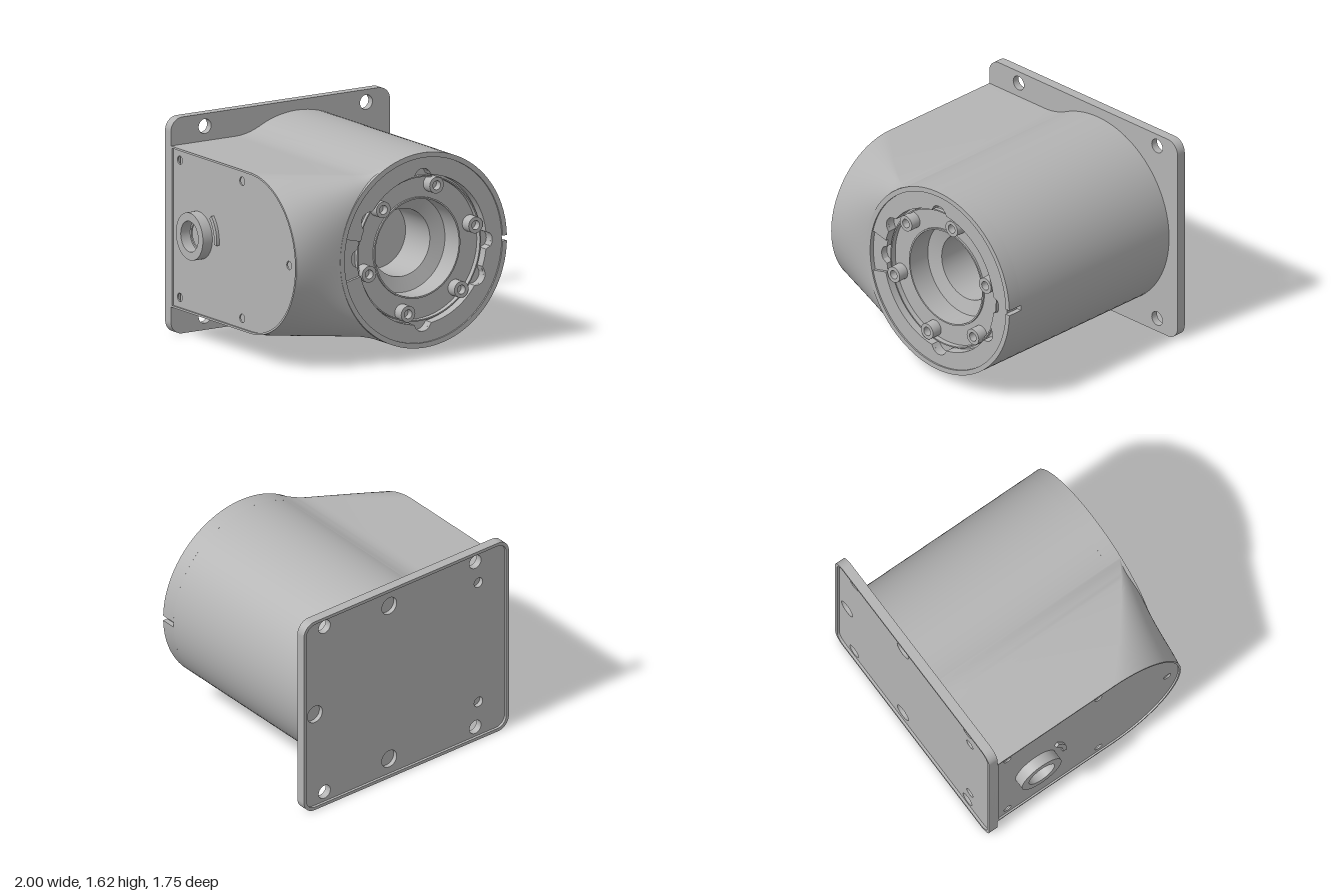
import * as THREE from 'three';
import { toCreasedNormals } from 'three/addons/utils/BufferGeometryUtils.js';

const CX = 0.18, CY = 0.815, R = 0.733;      // main barrel axis and radius
const FRONT = 0.87, BACK = -0.8, LEFT = -0.93;

export function createModel() {
  const model = new THREE.Group();
  const grey = new THREE.MeshStandardMaterial({ color: 0xb4b4b4, side: THREE.DoubleSide });
  grey.name = 'housing grey';

  const add = (name, geo, crease = 0.5) => {
    const mesh = new THREE.Mesh(toCreasedNormals(geo, crease), grey);
    mesh.name = name;
    model.add(mesh);
  };
  // Extrude a shape drawn in x/y between two z positions
  const slab = (name, shape, z0, z1) => add(name, new THREE.ExtrudeGeometry(shape,
    { depth: z1 - z0, bevelEnabled: false, curveSegments: 24 }).translate(0, 0, z0));
  // Extrude a shape drawn in z/y outward from x0 towards -x
  const sideSlab = (name, shape, x0, depth) => add(name, new THREE.ExtrudeGeometry(shape,
    { depth, bevelEnabled: false, curveSegments: 24 }).rotateY(-Math.PI / 2).translate(x0, 0, 0));
  // Revolve [radius, z] points round an axis parallel to the barrel
  const turned = (name, pts, x = CX, y = CY, n = 96) => add(name, new THREE.LatheGeometry(
    pts.map(p => new THREE.Vector2(...p)), n).rotateX(Math.PI / 2).translate(x, y, 0));
  const hole = (x, y, r) => new THREE.Path().absarc(x, y, r, 0, Math.PI * 2, true);

  // Ring sector whose inner radius may vary with angle
  const sector = (a0, a1, outer, inner) => {
    const pts = [], n = 150;
    const put = (a, r) => pts.push(new THREE.Vector2(CX + r * Math.cos(a), CY + r * Math.sin(a)));
    for (let i = 0; i <= n; i++) put(a0 + (a1 - a0) * i / n, outer);
    for (let i = n; i >= 0; i--) {
      const a = a0 + (a1 - a0) * i / n;
      put(a, inner(a));
    }
    return new THREE.Shape(pts);
  };

  // Mounting flange: front layer, back layer with screw pockets, raised back rim
  const roundRect = (inset, r, C = THREE.Shape) => {
    const x0 = LEFT + inset, x1 = 1 - inset, y0 = inset, y1 = 1.625 - inset;
    const s = new C();
    s.absarc(x1 - r, y0 + r, r, -Math.PI / 2, 0, false);
    s.absarc(x1 - r, y1 - r, r, 0, Math.PI / 2, false);
    s.absarc(x0 + r, y1 - r, r, Math.PI / 2, Math.PI, false);
    s.absarc(x0 + r, y0 + r, r, Math.PI, Math.PI * 1.5, false);
    s.closePath();
    return s;
  };
  const corners = [[-0.63, 1.53], [0.79, 1.53], [-0.63, 0.105], [0.79, 0.105]];
  const pockets = [[0.18, 1.47, 0.07], [0.18, 0.15, 0.07], [0.88, 0.81, 0.07],
    [-0.66, 1.34, 0.04], [-0.66, 0.31, 0.04]];
  const frontLayer = roundRect(0, 0.1), backLayer = roundRect(0, 0.1), rim = roundRect(0, 0.1);
  corners.forEach(([x, y]) => {
    frontLayer.holes.push(hole(x, y, 0.055));
    backLayer.holes.push(hole(x, y, 0.055));
  });
  pockets.forEach(([x, y, r]) => backLayer.holes.push(hole(x, y, r)));
  rim.holes.push(roundRect(0.025, 0.08, THREE.Path));
  slab('flangeFront', frontLayer, -0.82, BACK);
  slab('flangeBack', backLayer, -0.855, -0.82);
  slab('flangeRim', rim, -0.875, -0.855);

  // Barrel outer wall
  turned('barrel', [[R, BACK], [R, 0.75], [0.56, 0.75]]);

  // Front rim, broken by a narrow slot on the left side
  const slot = 0.028, notch = 0.235;
  slab('frontRim', sector(slot, 2 * Math.PI - slot, R, () => 0.695), 0.75, FRONT);

  // Ledge inside the rim, with round scallops for screw heads and a wide shallow notch
  const scallops = [-180, -90, -28, 0, 90, 150, 180].map(a => a * Math.PI / 180);
  const scalloped = a => {
    let r = 0.56;
    for (const s of scallops) {
      const w = 0.56 * (a - s);
      if (Math.abs(w) < 0.065) r = 0.56 + Math.sqrt(0.065 ** 2 - w * w) * 0.8;
    }
    return r;
  };
  slab('frontLedge', sector(-Math.PI + notch, Math.PI - notch, 0.696, scalloped), 0.75, 0.858);
  slab('lowerLedge', sector(-Math.PI, Math.PI, 0.696, scalloped), 0.75, 0.835);

  // Stepped bore closed by a flat floor
  turned('bore', [[0.69, 0.78], [0.545, 0.78], [0.545, 0.81], [0.535, 0.81], [0.535, 0.77],
    [0.38, 0.77], [0.38, 0.785], [0.368, 0.785], [0.368, 0.6], [0.255, 0.57], [0.255, 0.25], [0, 0.25]]);

  // Six screw bosses round the bore
  for (let i = 0; i < 6; i++) {
    const a = (15 + 60 * i) * Math.PI / 180;
    turned('screwBoss', [[0.062, 0.77], [0.062, 0.855], [0.034, 0.855], [0.034, 0.8], [0, 0.8]],
      CX + 0.485 * Math.cos(a), CY + 0.485 * Math.sin(a), 24);
  }

  // Side housing: D-shaped sections that flare into the barrel
  const N = 48, M = 32, pos = [], idx = [], H = 0.605, FLARE = 0.655;
  const row = N + 3;
  for (let j = 0; j <= M; j++) {
    const u = j / M, d = 0.6 * (1 - u) ** 1.15 + 0.004;
    const front = FRONT - 0.002 - 0.018 * (1 - u) ** 4;
    for (let i = 0; i < row; i++) {
      const k = Math.min(Math.max(i - 1, 0), N);
      const phi = (k / N - 0.5) * Math.PI, t = Math.sin(phi);
      const xEnd = CX - Math.sqrt(R * R - (t * FLARE) ** 2) + 0.005;
      const x = LEFT + u * (xEnd - LEFT);
      const s = Math.min(Math.max((x + 0.36) / 0.21, 0), 1);
      const z = i === 0 || i === row - 1 ? BACK : front - d + d * Math.cos(phi);
      pos.push(x, CY + t * (H + (FLARE - H) * s * s), z);
    }
  }
  for (let j = 0; j < M; j++) for (let i = 0; i < row - 1; i++) {
    const a = j * row + i, b = a + 1, c = a + row, e = c + 1;
    idx.push(a, c, b, b, c, e);
  }
  const sideGeo = new THREE.BufferGeometry();
  sideGeo.setAttribute('position', new THREE.Float32BufferAttribute(pos, 3));
  sideGeo.setIndex(idx);
  add('sideHousing', sideGeo, 0.7);

  // Flat end cover of the side housing, with screw holes
  const dShape = (r, C = THREE.Shape) => {
    const z0 = BACK + H - r, s = new C();
    s.moveTo(z0, CY - r);
    s.lineTo(0.248, CY - r);
    s.absarc(0.248, CY, r, -Math.PI / 2, Math.PI / 2, false);
    s.lineTo(z0, CY + r);
    s.closePath();
    return s;
  };
  const cover = dShape(H - 0.014);
  for (const [z, y] of [[0.12, 1.33], [0.12, 0.3], [0.74, CY], [-0.7, 1.33], [-0.7, 0.3]])
    cover.holes.push(hole(z, y, 0.032));
  cover.holes.push(hole(-0.45, CY, 0.1));
  sideSlab('endCover', cover, -0.905, 0.012);
  sideSlab('endCoverBacking', dShape(H - 0.02), -0.85, 0.01);
  const lip = dShape(H);
  lip.holes.push(dShape(H - 0.015, THREE.Path));
  sideSlab('endLip', lip, -0.9, 0.03);

  // Cable boss with a curved clip beside it
  const boss = new THREE.Shape().absarc(-0.45, CY, 0.178, 0, Math.PI * 2, false);
  boss.holes.push(hole(-0.45, CY, 0.115));
  sideSlab('cableBoss', boss, -0.91, 0.09);
  const clip = new THREE.Shape();
  clip.absarc(-0.45, CY, 0.27, -0.1, 0.75, false);
  clip.absarc(-0.45, CY, 0.235, 0.75, -0.1, true);
  sideSlab('cableClip', clip, -0.91, 0.03);

  return model;
}
